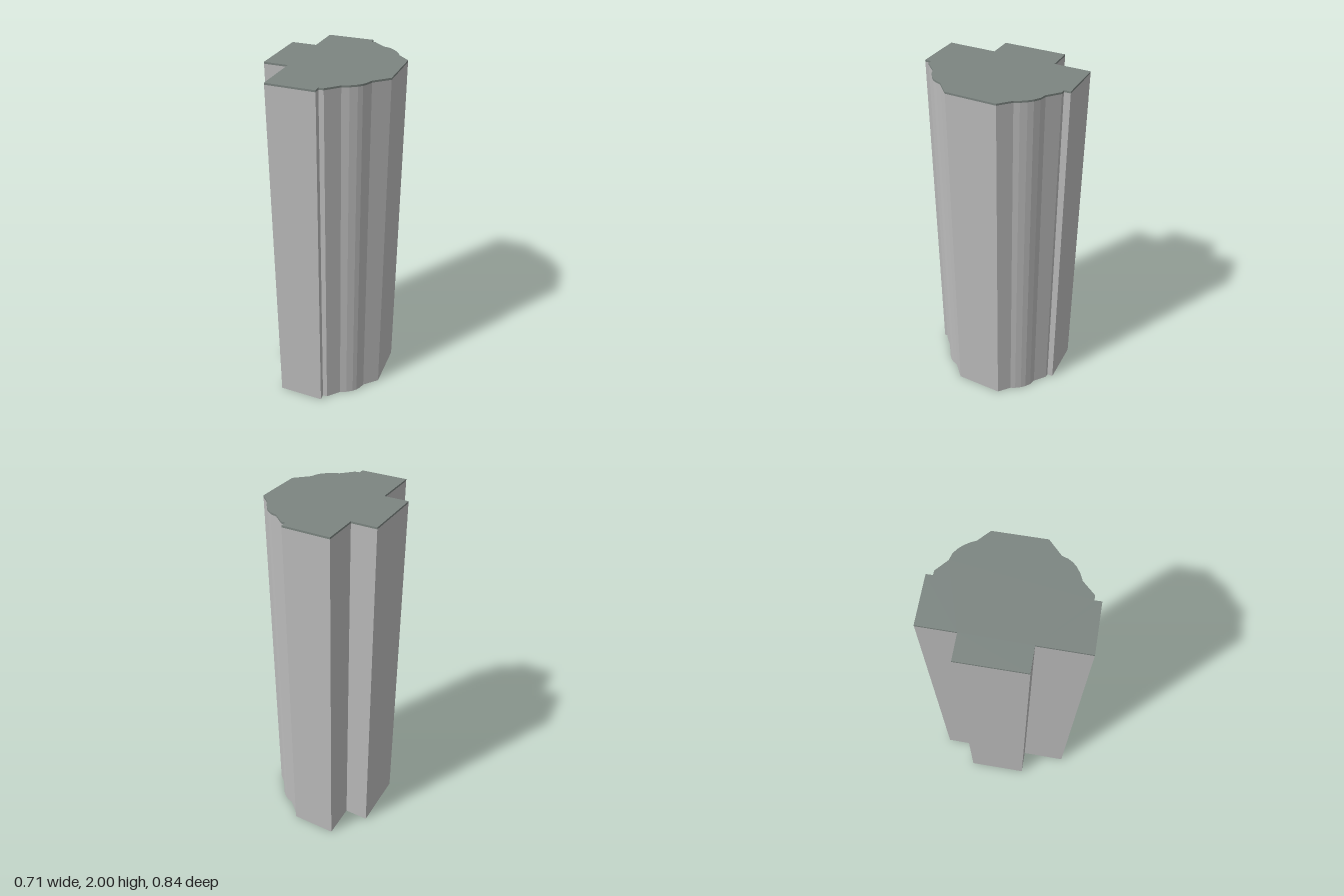
import * as THREE from 'three';

// Floor plan outline as [x, z] points
const plan = [
  [-0.118, -0.423], [0.136, -0.375], [0.13, -0.341], [0.153, -0.336], [0.206, -0.27],
  [0.24, -0.254], [0.265, -0.229], [0.282, -0.203], [0.297, -0.17], [0.305, -0.141],
  [0.356, -0.073], [0.304, 0.195], [0.217, 0.25], [0.2, 0.279], [0.182, 0.299],
  [0.16, 0.314], [0.123, 0.33], [0.085, 0.338], [0.012, 0.389], [-0.014, 0.385],
  [-0.02, 0.42], [-0.278, 0.37], [-0.227, 0.111], [-0.358, 0.086], [-0.292, -0.256],
  [-0.156, -0.23],
];
const HEIGHT = 2;
const ROOF = 0.01;

// Open shell: one flat quad for each side of the plan
function wallGeometry(height) {
  const positions = [];
  plan.forEach(([ax, az], i) => {
    const [bx, bz] = plan[(i + 1) % plan.length];
    positions.push(
      ax, 0, az, ax, height, az, bx, height, bz,
      ax, 0, az, bx, height, bz, bx, 0, bz,
    );
  });
  const geometry = new THREE.BufferGeometry();
  geometry.setAttribute('position', new THREE.Float32BufferAttribute(positions, 3));
  geometry.computeVertexNormals();
  return geometry;
}

export function createModel() {
  const wallGrey = new THREE.MeshStandardMaterial({ color: 0xbbbbbb, side: THREE.DoubleSide });
  wallGrey.name = 'wallGrey';
  const roofGrey = new THREE.MeshStandardMaterial({ color: 0x7c8581 });
  roofGrey.name = 'roofGrey';

  const tower = new THREE.Group();
  tower.name = 'tower';

  // Walls, open at the bottom
  const walls = new THREE.Mesh(wallGeometry(HEIGHT - ROOF), wallGrey);
  walls.name = 'walls';

  // Thin roof slab
  const shape = new THREE.Shape(plan.map(([x, z]) => new THREE.Vector2(x, -z)));
  const slab = new THREE.ExtrudeGeometry(shape, { depth: ROOF, bevelEnabled: false });
  slab.rotateX(-Math.PI / 2);
  const roof = new THREE.Mesh(slab, roofGrey);
  roof.name = 'roof';
  roof.position.y = HEIGHT - ROOF;

  tower.add(walls, roof);
  return tower;
}
